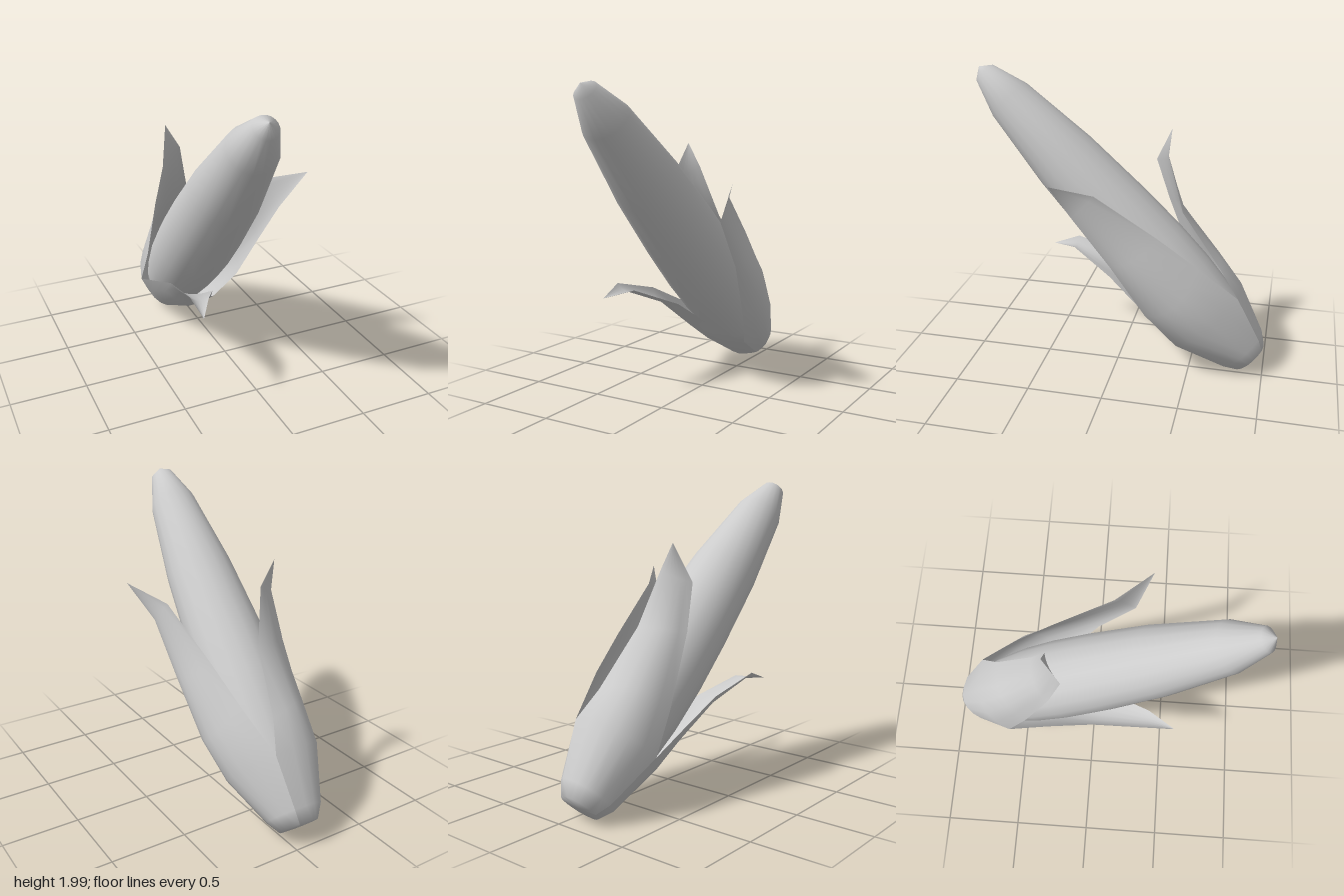
import * as THREE from 'three';

const BASE = new THREE.Vector3(-0.08, 0.106, -0.912);
const TIP = new THREE.Vector3(-0.2, 1.99, 0.98);
const AXIS = TIP.clone().sub(BASE);
const LENGTH = AXIS.length();
AXIS.normalize();
const SIDE = new THREE.Vector3(1, 0, 0).addScaledVector(AXIS, -AXIS.x).normalize();
const UPPER = AXIS.clone().cross(SIDE);

// Point at a distance along the cob axis, at a radius and angle around it
function around(along, radius, degrees) {
  const a = THREE.MathUtils.degToRad(degrees);
  const p = BASE.clone().addScaledVector(AXIS, along)
    .addScaledVector(SIDE, radius * Math.cos(a))
    .addScaledVector(UPPER, radius * Math.sin(a));
  return p.toArray();
}

// Curved sheet through rows of three points: edge, middle, edge
function sheet(rows, columns = 6) {
  const positions = [], index = [];
  for (const [a, b, c] of rows) {
    for (let j = 0; j <= columns; j++) {
      const t = j / columns;
      const wa = (1 - t) * (1 - 2 * t), wb = 4 * t * (1 - t), wc = t * (2 * t - 1);
      for (let k = 0; k < 3; k++) positions.push(wa * a[k] + wb * b[k] + wc * c[k]);
    }
  }
  const n = columns + 1;
  for (let i = 0; i < rows.length - 1; i++) {
    for (let j = 0; j < columns; j++) {
      const p = i * n + j;
      index.push(p, p + 1, p + n, p + 1, p + n + 1, p + n);
    }
  }
  const g = new THREE.BufferGeometry();
  g.setAttribute('position', new THREE.Float32BufferAttribute(positions, 3));
  g.setIndex(index);
  g.computeVertexNormals();
  return g;
}

// Each husk leaf: the angles it covers at the base, its free rows and its tip
const LEAVES = [
  {
    name: 'frontHuskLeaf', angles: [185, 247, 308],
    rows: [
      [[-0.4, 0.4, -0.59], [-0.2, 0.22, -0.42], [0.1, 0.23, -0.42]],
      [[-0.39, 0.52, -0.3], [-0.22, 0.36, -0.21], [0, 0.34, -0.24]],
      [[-0.39, 0.65, 0], [-0.3, 0.58, 0.06], [-0.13, 0.58, 0.09]],
      [[-0.41, 0.745, 0.38], [-0.35, 0.7, 0.38], [-0.28, 0.71, 0.38]],
    ],
    tip: [-0.39, 0.68, 0.56],
  },
  {
    name: 'leftHuskLeaf', angles: [-52, 5, 63],
    rows: [
      [[0.1, 0.23, -0.42], [0.21, 0.4, -0.6], [0.04, 0.6, -0.81]],
      [[0.19, 0.49, -0.22], [0.26, 0.6, -0.42], [0.12, 0.83, -0.55]],
      [[0.25, 0.85, 0], [0.26, 0.9, -0.14], [0.17, 1.03, -0.3]],
      [[0.27, 1.17, 0.24], [0.27, 1.23, 0.18], [0.25, 1.32, 0.1]],
    ],
    tip: [0.41, 1.42, 0.34],
  },
  {
    name: 'backHuskLeaf', angles: [63, 124, 185],
    rows: [
      [[0.04, 0.6, -0.81], [-0.27, 0.585, -0.785], [-0.4, 0.4, -0.59]],
      [[-0.03, 0.77, -0.68], [-0.28, 0.8, -0.62], [-0.39, 0.66, -0.45]],
      [[-0.1, 1.12, -0.41], [-0.27, 1.12, -0.38], [-0.38, 1.1, -0.28]],
      [[-0.19, 1.47, -0.295], [-0.27, 1.42, -0.26], [-0.35, 1.39, -0.19]],
    ],
    tip: [-0.285, 1.63, -0.3],
  },
];

export function createModel() {
  const group = new THREE.Group();
  const cobMaterial = new THREE.MeshStandardMaterial({ color: 0xcccccc });
  const huskMaterial = new THREE.MeshStandardMaterial({ color: 0xcccccc, side: THREE.DoubleSide });

  // Cob: turned profile laid along the sloping axis
  const profile = [
    [0, 0.2], [0.19, 0.2], [0.23, 0.4], [0.26, 0.72], [0.266, 1.0], [0.255, 1.35],
    [0.224, 1.84], [0.155, 2.38], [0.075, LENGTH - 0.055], [0, LENGTH],
  ].map(([r, h]) => new THREE.Vector2(r, h));
  const cob = new THREE.Mesh(new THREE.LatheGeometry(profile, 18), cobMaterial);
  cob.name = 'cob';
  cob.position.copy(BASE);
  cob.quaternion.setFromUnitVectors(new THREE.Vector3(0, 1, 0), AXIS);
  group.add(cob);

  // Husk: three leaves that share a closed cup at the base
  for (const { name, angles, rows, tip } of LEAVES) {
    const cup = [[0, 0], [0.005, 0.13], [0.09, 0.185]]
      .map(([along, radius]) => angles.map((angle) => around(along, radius, angle)));
    const leaf = new THREE.Mesh(sheet([...cup, ...rows, [tip, tip, tip]]), huskMaterial);
    leaf.name = name;
    group.add(leaf);
  }
  return group;
}
